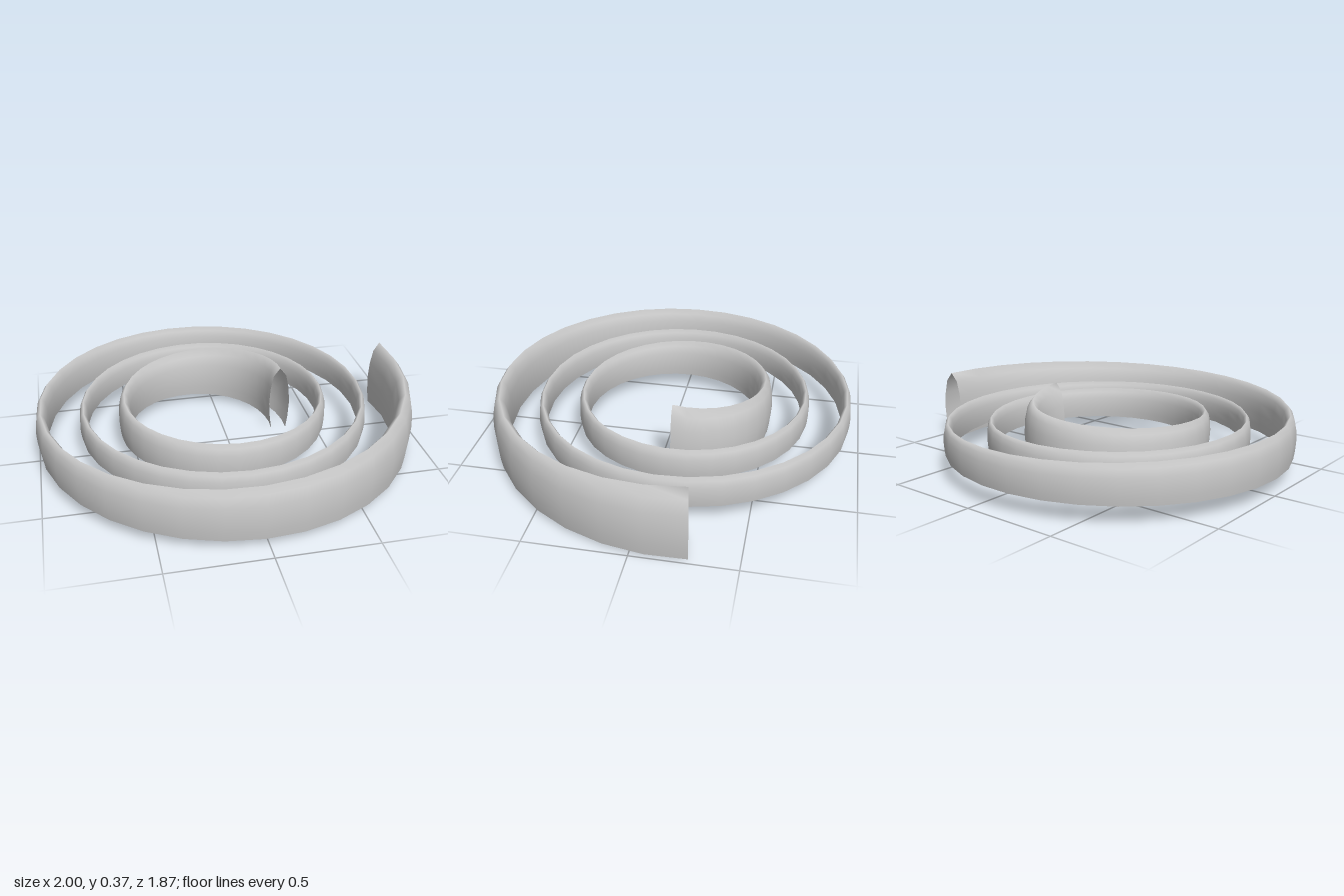
import * as THREE from 'three';

// Half of the arched, open-bottomed section: [offset from centre line, height from middle]
const HALF = [[0.04, -0.18], [0.05, -0.11], [0.056, -0.02], [0.05, 0.07], [0.034, 0.145]];
const SECTION = [...HALF, [0, 0.19], ...HALF.map(([u, v]) => [-u, v]).reverse()];

const STEPS = 100;
const TURNS = STEPS / 33;

// The band is tall at both ends and slim in the middle of its run
function bandScale(turn) {
  const d = Math.min(turn, TURNS - turn) / (TURNS / 2);
  return 0.4 + 0.6 * Math.pow(1 - d, 3);
}

function spiralBand() {
  const positions = [], indices = [];
  const n = SECTION.length;
  for (let i = 0; i <= STEPS; i++) {
    const turn = TURNS * i / STEPS;
    const angle = turn * Math.PI * 2;
    const radius = 0.367 + 0.215 * turn;
    const s = bandScale(turn);
    for (const [u, v] of SECTION) {
      const r = radius + u * s;
      positions.push(-0.067 + r * Math.cos(angle), 0.18 + v * s, -0.067 - r * Math.sin(angle));
    }
  }
  for (let i = 0; i < STEPS; i++) {
    for (let j = 0; j < n - 1; j++) {
      const a = i * n + j, b = a + n;
      indices.push(a, b, a + 1, b, b + 1, a + 1);
    }
  }
  const geometry = new THREE.BufferGeometry();
  geometry.setAttribute('position', new THREE.Float32BufferAttribute(positions, 3));
  geometry.setIndex(indices);
  geometry.computeVertexNormals();
  return geometry;
}

export function createModel() {
  const group = new THREE.Group();
  group.name = 'spiral';
  const material = new THREE.MeshStandardMaterial({ color: 0xcccccc, side: THREE.DoubleSide });
  const band = new THREE.Mesh(spiralBand(), material);
  band.name = 'spiralBand';
  group.add(band);
  return group;
}
